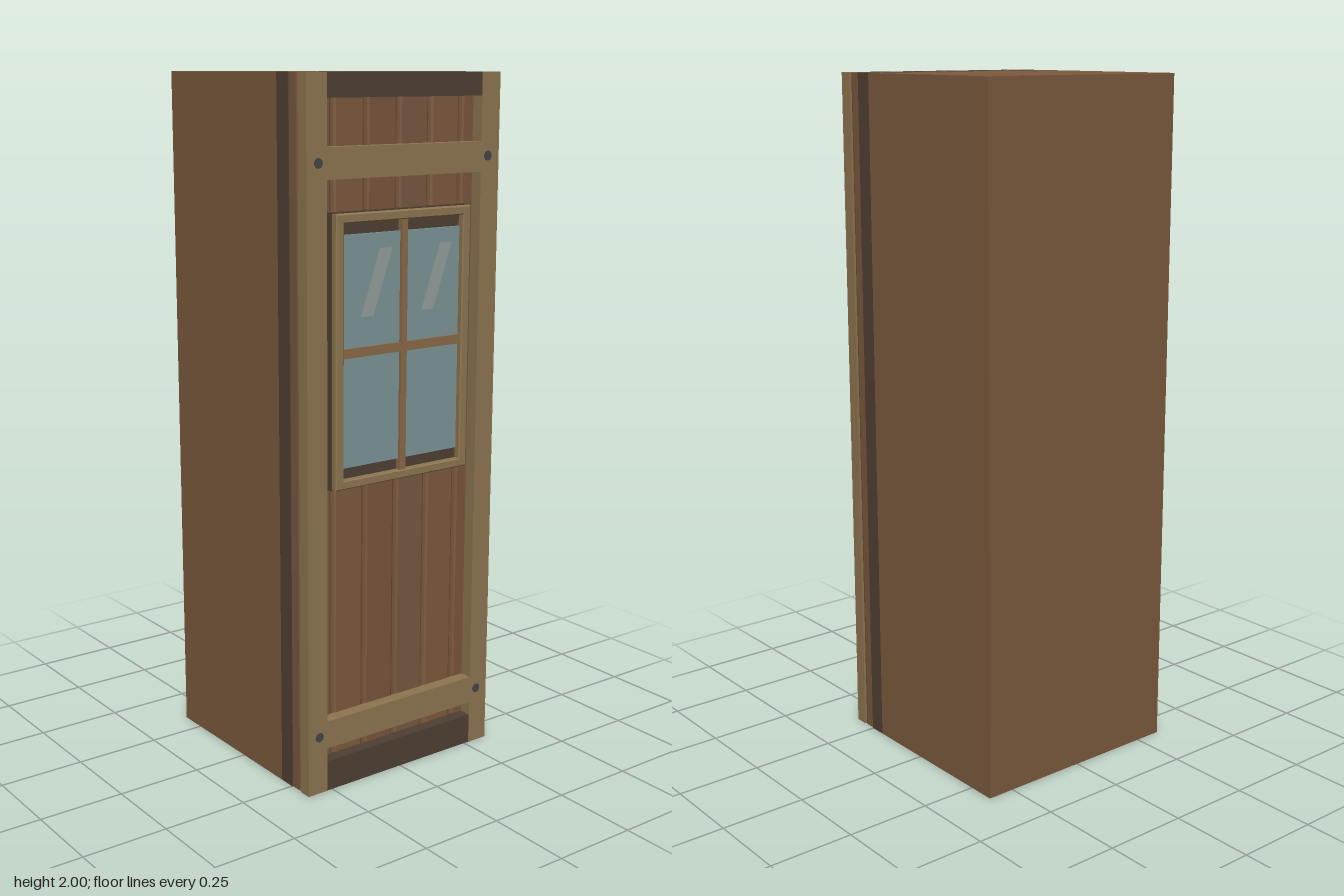
import * as THREE from 'three';

const mat = (color) => new THREE.MeshStandardMaterial({ color });
const brown = mat(0x7c5a3e);
const plankTones = [mat(0x785840), mat(0x7c5a3e), mat(0x7a563c)];
const dark = mat(0x4f3f33);
const trim = mat(0x8e7550);
const sashWood = mat(0x8a6a48);
const glass = mat(0x7d9698);
const shine = mat(0x95a09c);
const iron = mat(0x444644);

export function createModel() {
  const root = new THREE.Group();

  const add = (name, geometry, material, parent = root) => {
    const mesh = new THREE.Mesh(geometry, material);
    mesh.name = name;
    parent.add(mesh);
    return mesh;
  };
  // Box given by its extents on each axis
  const box = (name, material, [x0, x1], [y0, y1], [z0, z1], parent) => {
    const mesh = add(name, new THREE.BoxGeometry(x1 - x0, y1 - y0, z1 - z0), material, parent);
    mesh.position.set((x0 + x1) / 2, (y0 + y1) / 2, (z0 + z1) / 2);
    return mesh;
  };
  const polygon = (points) => new THREE.Shape(points.map(([x, y]) => new THREE.Vector2(x, y)));

  const W = 0.333;

  // Solid wall block and the dark layer behind the planks
  box('wallBlock', brown, [-W, W], [0, 2], [-W, 0.2]);
  box('backingPanel', dark, [-W, W], [0, 2], [0.2, 0.252]);

  // Six upright planks with eased front edges and narrow gaps
  const planks = new THREE.Group();
  planks.name = 'planks';
  root.add(planks);
  const pitch = (2 * W) / 6, h = pitch / 2 - 0.0025, zb = 0.252, zf = 0.296;
  const plankShape = polygon([
    [-h, -zb], [-h, -zf + 0.012], [-h + 0.003, -zf + 0.004], [-h + 0.009, -zf],
    [h - 0.009, -zf], [h - 0.003, -zf + 0.004], [h, -zf + 0.012], [h, -zb],
  ]);
  const plankGeo = new THREE.ExtrudeGeometry(plankShape, { depth: 2, bevelEnabled: false });
  plankGeo.rotateX(-Math.PI / 2);
  for (let i = 0; i < 6; i++) {
    const plank = add('plank', plankGeo, plankTones[i % 3], planks);
    plank.position.x = -W + pitch * (i + 0.5);
  }

  // Front frame: corner posts, end rails and cross rails
  const inner = 0.267, frameZ = [0.294, 0.333];
  for (const side of [-1, 1]) {
    const xs = side < 0 ? [-W, -inner] : [inner, W];
    box(side < 0 ? 'rightPost' : 'leftPost', trim, xs, [0, 2], frameZ);
  }
  box('topRail', dark, [-inner, inner], [1.935, 2], [0.294, 0.332]);
  box('bottomRail', dark, [-inner, inner], [0, 0.09], [0.294, 0.332]);
  box('upperCrossRail', trim, [-inner, inner], [1.726, 1.81], frameZ);
  box('lowerCrossRail', trim, [-inner, inner], [0.13, 0.212], frameZ);

  // Bolt heads where the cross rails meet the posts
  const boltGeo = new THREE.CylinderGeometry(0.014, 0.014, 0.006, 12);
  boltGeo.rotateX(Math.PI / 2);
  for (const x of [-0.295, 0.292]) {
    for (const y of [0.171, 1.77]) add('bolt', boltGeo, iron).position.set(x, y, 0.331);
  }

  // Window
  const win = new THREE.Group();
  win.name = 'window';
  win.position.set(-0.001, 1.258, 0);
  root.add(win);
  box('windowBacking', dark, [-0.24, 0.24], [-0.38, 0.38], [0.279, 0.312], win);
  const rect = (w, hh) => [[-w, -hh], [w, -hh], [w, hh], [-w, hh]];
  const frameShape = polygon(rect(0.235, 0.377));
  frameShape.holes.push(polygon(rect(0.208, 0.352)));
  const frameGeo = new THREE.ExtrudeGeometry(frameShape, {
    depth: 0.017, bevelThickness: 0.003, bevelSize: 0.003, bevelOffset: -0.003, bevelSegments: 1,
  });
  add('windowFrame', frameGeo, trim, win).position.z = 0.312;
  box('windowPane', glass, [-0.203, 0.203], [-0.32, 0.32], [0.312, 0.321], win);
  box('uprightBar', sashWood, [-0.01, 0.01], [-0.352, 0.352], [0.312, 0.33], win);
  box('crossBar', sashWood, [-0.208, 0.208], [-0.013, 0.013], [0.312, 0.328], win);

  // Slanted light streaks on the upper panes
  const streak = new THREE.ShapeGeometry(polygon([[-0.145, 0.095], [-0.102, 0.095], [-0.038, 0.278], [-0.081, 0.278]]));
  for (const x of [0, 0.212]) add('glassStreak', streak, shine, win).position.set(x, 0, 0.3225);

  return root;
}
